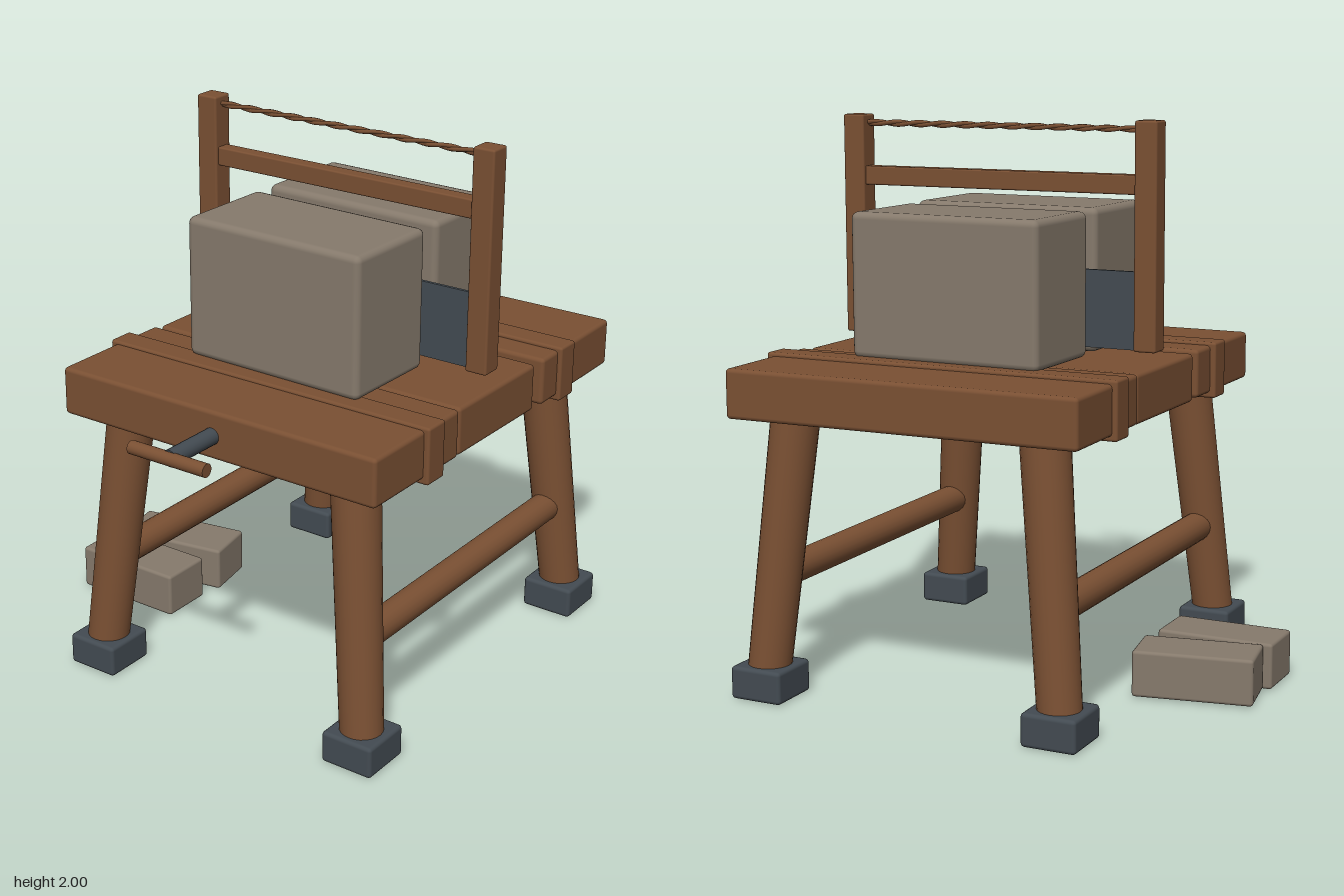
import * as THREE from 'three';
import { RoundedBoxGeometry } from 'three/addons/geometries/RoundedBoxGeometry.js';

export function createModel() {
  const model = new THREE.Group();
  model.name = 'stoneSawBench';

  const material = (name, color) => {
    const m = new THREE.MeshStandardMaterial({ color });
    m.name = name;
    return m;
  };
  const wood = material('wood', 0x7a5033);
  const stone = material('stone', 0x867a6c);
  const iron = material('iron', 0x434b52);

  const add = (name, geometry, mat) => {
    const mesh = new THREE.Mesh(geometry, mat);
    mesh.name = name;
    model.add(mesh);
    return mesh;
  };
  // Box with softened edges, given by size and centre, turned about y
  const box = (name, mat, [w, h, d], [x, y, z], bevel = 0.012, turn = 0) => {
    const mesh = add(name, new RoundedBoxGeometry(w, h, d, 2, bevel), mat);
    mesh.position.set(x, y, z);
    mesh.rotation.y = turn;
    return mesh;
  };
  // Round rod between two points
  const rod = (name, mat, from, to, rFrom, rTo = rFrom, sides = 20) => {
    const a = new THREE.Vector3(...from), b = new THREE.Vector3(...to);
    const dir = b.clone().sub(a);
    const mesh = add(name, new THREE.CylinderGeometry(rTo, rFrom, dir.length(), sides), mat);
    mesh.position.copy(a).add(b).multiplyScalar(0.5);
    mesh.quaternion.setFromUnitVectors(new THREE.Vector3(0, 1, 0), dir.normalize());
    return mesh;
  };

  // Table top: three slightly uneven planks
  box('backPlank', wood, [1.315, 0.175, 0.495], [0.17, 1.085, -0.64], 0.015, 0.012);
  box('middlePlank', wood, [1.295, 0.175, 0.495], [0.17, 1.08, -0.12], 0.015, -0.01);
  box('frontPlank', wood, [1.31, 0.175, 0.5], [0.17, 1.087, 0.4], 0.015, -0.003);

  // Bands wrapped around the outer planks
  for (const z of [0.32, -0.555]) {
    box('plankBand', wood, [1.35, 0.205, 0.1], [0.17, 1.083, z], 0.01);
  }

  // Splayed legs with iron feet, and a stretcher on each side
  const cx = 0.17, cz = -0.117;
  for (const sx of [-1, 1]) {
    for (const sz of [-1, 1]) {
      rod('leg', wood,
        [cx + sx * 0.567, 0.06, cz + sz * 0.688],
        [cx + sx * 0.475, 1.02, cz + sz * 0.613], 0.076, 0.086, 24);
      box('foot', iron, [0.2, 0.117, 0.2],
        [cx + sx * 0.563, 0.0625, cz + sz * 0.682], 0.014);
    }
    rod('stretcher', wood,
      [cx + sx * 0.528, 0.44, cz - 0.69], [cx + sx * 0.528, 0.44, cz + 0.69], 0.055);
  }

  // Frame saw: posts, crossbar, blade and twisted cord
  for (const x of [-0.408, 0.743]) {
    box('sawPost', wood, [0.083, 0.795, 0.083], [x, 1.6025, -0.12], 0.008);
  }
  box('sawCrossbar', wood, [1.09, 0.068, 0.055], [0.1675, 1.78, -0.12], 0.006);
  const blade = add('sawBlade', new THREE.BoxGeometry(1.1, 0.275, 0.012), iron);
  blade.position.set(0.1675, 1.3425, -0.12);
  for (const phase of [0, Math.PI]) {
    const points = [];
    for (let i = 0; i <= 80; i++) {
      const t = i / 80, a = phase + t * Math.PI * 12;
      points.push(new THREE.Vector3(
        -0.385 + t * 1.105, 1.969 + 0.005 * Math.sin(a), -0.12 + 0.005 * Math.cos(a)));
    }
    add('sawCord', new THREE.TubeGeometry(new THREE.CatmullRomCurve3(points), 120, 0.008, 6), wood);
  }

  // Sawn halves of the large block, either side of the blade
  box('frontBlock', stone, [0.725, 0.51, 0.395], [0.168, 1.435, 0.117], 0.025, -0.02);
  box('backBlock', stone, [0.725, 0.51, 0.39], [0.168, 1.432, -0.355], 0.025, -0.02);

  // Offcuts on the floor
  box('straightOffcut', stone, [0.435, 0.167, 0.205], [-0.625, 0.092, 0.088], 0.012);
  box('turnedOffcut', stone, [0.43, 0.167, 0.205], [-0.618, 0.092, -0.153], 0.012, 0.175);

  // Vice screw with T handle
  rod('viceScrew', iron, [cx, 1.085, 0.6], [cx, 1.085, 0.872], 0.03);
  rod('viceHandle', wood, [0.01, 1.085, 0.873], [0.325, 1.085, 0.873], 0.024);

  return model;
}
